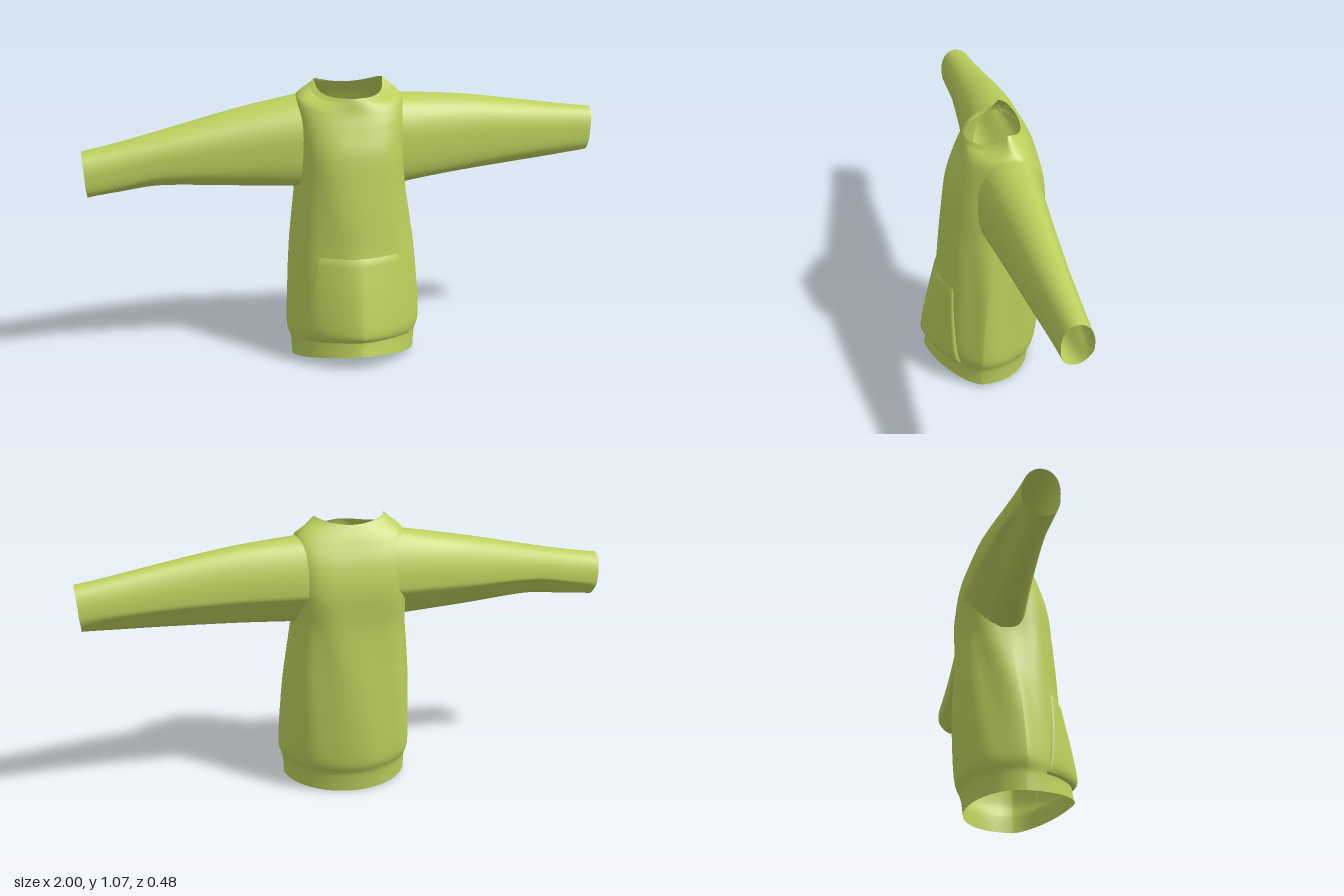
import * as THREE from 'three';

const fabric = new THREE.MeshStandardMaterial({ color: 0xbccf5c, side: THREE.DoubleSide });

// Smooth interpolation through a table of cross-section rows.
function sample(rows, v) {
  const i = Math.min(Math.max(Math.floor(v), 0), rows.length - 2), t = v - i;
  const row = (k) => rows[Math.min(Math.max(k, 0), rows.length - 1)];
  const [p, a, b, n] = [row(i - 1), row(i), row(i + 1), row(i + 2)];
  return a.map((_, k) => 0.5 * (2 * a[k] + (b[k] - p[k]) * t
    + (2 * p[k] - 5 * a[k] + 4 * b[k] - n[k]) * t * t
    + (3 * a[k] - p[k] - 3 * b[k] + n[k]) * t * t * t));
}

const spow = (value, e) => Math.sign(value) * Math.abs(value) ** e;

// Skin a grid of points; 'closed' joins the last column to the first, 'skip' leaves openings.
function loft(name, point, nu, nv, closed, skip = () => false) {
  const cols = closed ? nu : nu + 1, pts = [], index = [];
  for (let j = 0; j <= nv; j++) for (let i = 0; i < cols; i++) pts.push(point(i / nu, j / nv));
  for (let j = 0; j < nv; j++) for (let i = 0; i < nu; i++) {
    const i2 = (i + 1) % cols;
    const a = j * cols + i, b = j * cols + i2, c = a + cols, d = b + cols;
    if (![a, b, c, d].every((k) => skip(pts[k]))) index.push(a, b, d, a, d, c);
  }
  const geo = new THREE.BufferGeometry();
  geo.setAttribute('position', new THREE.Float32BufferAttribute(pts.flat(), 3));
  geo.setIndex(index);
  geo.computeVertexNormals();
  const mesh = new THREE.Mesh(geo, fabric);
  mesh.name = name;
  return mesh;
}

// Torso rows: y front, y side, y back, half width, z front, z back, z of widest line,
// squareness of the front half, squareness of the back half
const torsoRows = [
  [0.055, 0.012, 0.0, 0.238, 0.228, -0.184, 0.02, 1.5, 2.0],
  [0.105, 0.08, 0.07, 0.243, 0.218, -0.195, 0.02, 1.45, 2.0],
  [0.15, 0.14, 0.13, 0.256, 0.222, -0.217, 0.02, 1.45, 2.1],
  [0.28, 0.28, 0.28, 0.248, 0.202, -0.227, 0.01, 1.55, 2.2],
  [0.43, 0.43, 0.43, 0.236, 0.174, -0.229, -0.01, 1.75, 2.3],
  [0.55, 0.55, 0.55, 0.221, 0.162, -0.226, -0.03, 2.0, 2.5],
  [0.67, 0.67, 0.67, 0.206, 0.148, -0.223, -0.05, 2.4, 3.0],
  [0.8, 0.8, 0.8, 0.203, 0.13, -0.228, -0.08, 2.8, 3.8],
  [0.89, 0.92, 0.9, 0.206, 0.1, -0.212, -0.09, 2.8, 3.8],
  [0.95, 0.998, 0.98, 0.202, 0.078, -0.178, -0.09, 2.3, 2.9],
  [0.995, 1.05, 1.03, 0.148, 0.068, -0.15, -0.08, 1.8, 2.0],
  [1.01, 1.066, 1.04, 0.13, 0.063, -0.143, -0.08, 1.7, 2.0],
];

// Height of a torso row at cosine c; the neckline drops quickly towards the front.
function torsoHeight(v, c, yF, yS, yB) {
  if (c < 0) return yS + (yB - yS) * c * c;
  const neck = THREE.MathUtils.clamp(v - 9, 0, 1);
  return yS + (yF - yS) * THREE.MathUtils.lerp(c * c, 1 - (1 - c) ** 2.5, neck);
}

// Point on the torso at row v and angle a (0 = front, towards +x), pushed out by 'off'.
function torsoPoint(v, a, off = 0) {
  const [yF, yS, yB, hx, zF, zB, zS, nF, nB] = sample(torsoRows, v);
  const s = Math.sin(a), c = Math.cos(a), n = c > 0 ? nF : nB;
  // soft vertical folds at the sides and back
  const fade = v > 1 && v < 7 ? Math.sin(Math.PI * (v - 1) / 6) : 0;
  const fold = 0.006 * fade * Math.sin(8 * a + 0.5 * v) * (s * s + (c < 0 ? 0.5 * c * c : 0));
  const depth = c > 0 ? zF - zS : zS - zB;
  return [
    (hx + fold + off) * spow(s, 2 / n),
    torsoHeight(v, c, yF, yS, yB),
    zS + (depth + fold + off) * spow(c, 2 / n),
  ];
}

// Half width of the torso at a given height and depth, where a sleeve is sewn on.
function torsoWidthAt(y, z) {
  let lo = 5, hi = 11, width = 0;
  for (let k = 0; k < 16; k++) {
    const v = (lo + hi) / 2;
    const [yF, yS, yB, hx, zF, zB, zS, nF, nB] = sample(torsoRows, v);
    const n = z > zS ? nF : nB, depth = z > zS ? zF - zS : zS - zB;
    const c = spow(THREE.MathUtils.clamp((z - zS) / depth, -1, 1), n / 2);
    width = hx * (1 - c * c) ** (1 / n);
    if (torsoHeight(v, c, yF, yS, yB) < y) lo = v; else hi = v;
  }
  return Math.max(width, 0.14);
}

// Inside of the armholes, left open.
const inArmhole = ([x, y, z]) => Math.abs(x) > 0.12
  && Math.abs((y - 0.835) / 0.168) ** 2.2 + Math.abs((z + 0.085) / 0.115) ** 2.2 < 0.75;

// Front pocket: slanted sides, bulging low down, edges tucked into the torso.
function pocketPoint(u, w) {
  const edge = u < 0.001 || u > 0.999 || w < 0.001 || w > 0.999;
  const half = THREE.MathUtils.lerp(1.04, 0.74, w ** 1.3);
  const across = THREE.MathUtils.clamp((u - 0.02) / 0.96, 0, 1) * 2 - 1;
  const bulge = 0.005 + 0.012 * Math.sin(Math.PI * w ** 0.6) * (1 - 0.6 * across * across);
  return torsoPoint(1.05 + 2.95 * w, across * half, edge ? -0.003 : bulge);
}

// Sleeve rows: x, y top, y bottom, z front, z back
const leftRows = [
  [0.2, 1.0, 0.662, 0.033, -0.2],
  [0.45, 0.98, 0.688, -0.02, -0.203],
  [0.7, 0.944, 0.71, -0.07, -0.215],
  [0.9, 0.913, 0.723, -0.113, -0.231],
  [1.0, 0.9, 0.728, -0.132, -0.24],
];
const rightRows = [
  [-0.2, 1.005, 0.665, 0.033, -0.212],
  [-0.45, 0.955, 0.682, 0.03, -0.173],
  [-0.72, 0.892, 0.7, 0.034, -0.121],
  [-0.88, 0.857, 0.682, 0.041, -0.094],
  [-1.0, 0.835, 0.667, 0.05, -0.077],
];

// Point on a sleeve before sewing: round above, squarer below, rising behind the armpit.
function sleevePoint(rows, side, a, w) {
  const [x, top, bottom, zF, zB] = sample(rows, w * (rows.length - 1));
  const c = Math.cos(a), s = side * Math.sin(a), root = 1 - w;
  const e = 2 / (c < 0 ? 3 : 2.1);
  const lift = c < 0 && s < 0 ? 0.09 * c * s * (0.4 + root) : 0;
  const crease = 0.005 * Math.sin(5 * a + 3 * w) * Math.sin(Math.PI * w) * Math.max(0, -c);
  return [
    x - side * 0.016 * w * (1 - c) / 2,
    (top + bottom) / 2 + (top - bottom) / 2 * spow(c, e) + lift + crease,
    (zF + zB) / 2 + (zF - zB) / 2 * spow(s, e) - 0.022 * root * c * (1 - Math.abs(s)),
  ];
}

function sleeve(name, rows, side) {
  return loft(name, (u, w) => {
    const a = u * 2 * Math.PI;
    const [x, y, z] = sleevePoint(rows, side, a, w);
    const [x0, y0, z0] = sleevePoint(rows, side, a, 0);
    // the root follows the surface of the torso
    const seam = side * (torsoWidthAt(y0, z0) - 0.003) - x0;
    return [x + seam * Math.max(0, 1 - 5 * w), y, z];
  }, 48, 28, true);
}

export function createModel() {
  const group = new THREE.Group();
  group.name = 'sweatshirt';
  const turn = 2 * Math.PI;
  group.add(
    loft('hemBand', (u, w) => torsoPoint(w, u * turn), 96, 6, true),
    loft('torso', (u, w) => torsoPoint(1 + 10 * w, u * turn), 96, 80, true, inArmhole),
    loft('frontPocket', pocketPoint, 40, 24, false),
    sleeve('leftSleeve', leftRows, 1),
    sleeve('rightSleeve', rightRows, -1),
  );
  return group;
}
